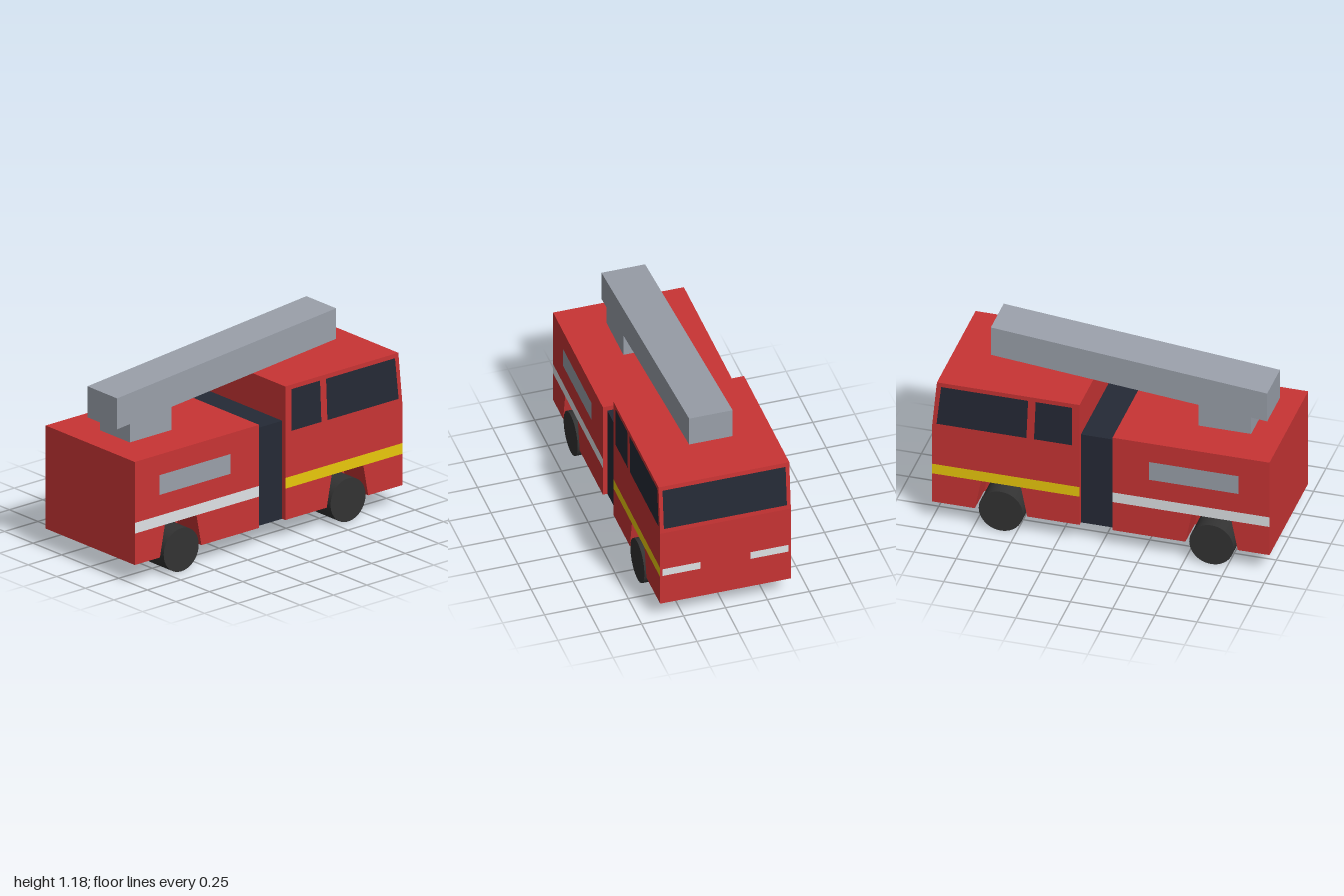
import * as THREE from 'three';

const mat = (color) => new THREE.MeshStandardMaterial({ color, side: THREE.DoubleSide });
const W = 0.39;       // half width of the bodywork
const WELL = 0.2;     // inner wall of the wheel wells
const FLOOR = 0.12, ARCH = 0.31, BAND = 0.375;

const rect = (a, b, c, d) => [[a, b], [c, b], [c, d], [a, d]];
const path = (pts) => pts.map(([u, v]) => new THREE.Vector2(u, v));

export function createModel() {
  const model = new THREE.Group();
  const red = mat(0xc83434), glass = mat(0x252a36), white = mat(0xdfe3e6);
  const yellow = mat(0xeac80c), grey = mat(0x9aa0aa), rubber = mat(0x333333);

  // Flat sheet: a 2D outline with holes, placed by map(u, v) and facing 'out'
  function panel(parent, name, material, outline, map, out, holes = []) {
    const shape = new THREE.Shape(path(outline));
    holes.forEach((h) => shape.holes.push(new THREE.Path(path(h))));
    const geo = new THREE.ShapeGeometry(shape);
    const p = geo.attributes.position;
    for (let i = 0; i < p.count; i++) p.setXYZ(i, ...map(p.getX(i), p.getY(i)));
    geo.computeVertexNormals();
    const n = new THREE.Vector3().fromBufferAttribute(geo.attributes.normal, 0);
    if (n.dot(new THREE.Vector3(...out)) < 0) {
      geo.setIndex([...geo.index.array].reverse());
      geo.computeVertexNormals();
    }
    const mesh = new THREE.Mesh(geo, material);
    mesh.name = name;
    parent.add(mesh);
  }

  const level = (y) => (x, z) => [x, y, z];
  const across = (x) => (z, y) => [x, y, z];
  const along = (z) => (x, y) => [x, y, z];

  const group = (name) => {
    const g = new THREE.Group();
    g.name = name;
    model.add(g);
    return g;
  };

  // Trapezoid outline of a wheel arch, open towards the floor
  const archOutline = (x) => [
    [x - 0.155, FLOOR], [x - 0.118, ARCH], [x + 0.118, ARCH], [x + 0.155, FLOOR],
  ];

  // Lower side, coloured band and recessed wheel well, for one side (s = 1 or -1)
  function lowerSide(g, x0, x1, axle, band, s) {
    const out = [0, 0, s], side = along(s * W);
    const a = archOutline(axle);
    // the arch reaches the band, so it splits the lower side in two
    panel(g, 'lowerSideRear', red, [[x0, FLOOR], a[0], a[1], [x0, ARCH]], side, out);
    panel(g, 'lowerSideFront', red, [a[3], [x1, FLOOR], [x1, ARCH], a[2]], side, out);
    panel(g, 'sideBand', band, rect(x0, ARCH, x1, BAND), side, out);
    panel(g, 'wellInnerWall', red, a, along(s * WELL), out);
    const outs = [[1, 0, 0], [0, -1, 0], [-1, 0, 0]];
    for (let i = 0; i < 3; i++) {
      const [p, q] = [a[i], a[i + 1]];
      panel(g, 'wellLining', red, rect(0, WELL, 1, W),
        (t, z) => [p[0] + (q[0] - p[0]) * t, p[1] + (q[1] - p[1]) * t, s * z], outs[i]);
    }
    // Wheel
    const wheel = new THREE.Mesh(new THREE.CylinderGeometry(0.131, 0.131, 0.195, 40), rubber);
    wheel.name = 'wheel';
    wheel.rotation.x = Math.PI / 2;
    wheel.position.set(axle, 0.131, s * (WELL + 0.0975));
    g.add(wheel);
  }

  // Rear body
  const rear = group('rearBody');
  const R0 = -1, R1 = -0.07, RTOP = 0.745, RAXLE = -0.657;
  const locker = rect(-0.815, 0.5, -0.285, 0.62);
  for (const s of [1, -1]) {
    lowerSide(rear, R0, R1, RAXLE, white, s);
    panel(rear, 'upperSide', red, rect(R0, BAND, R1, RTOP), along(s * W), [0, 0, s], [locker]);
    panel(rear, 'lockerShutter', grey, locker, along(s * W), [0, 0, s]);
  }
  panel(rear, 'rearRoof', red, rect(R0, -W, R1, W), level(RTOP), [0, 1, 0]);
  panel(rear, 'backWall', red, rect(-W, FLOOR, W, RTOP), across(R0), [-1, 0, 0]);
  panel(rear, 'bulkhead', red, rect(-W, FLOOR, W, RTOP), across(R1), [1, 0, 0]);
  const n0 = RAXLE - 0.155, n1 = RAXLE + 0.155;
  panel(rear, 'rearFloor', red, [
    [R0, -W], [n0, -W], [n0, -WELL], [n1, -WELL], [n1, -W], [R1, -W],
    [R1, W], [n1, W], [n1, WELL], [n0, WELL], [n0, W], [R0, W],
  ], level(FLOOR), [0, -1, 0]);

  // Cab
  const cab = group('cab');
  const C0 = 0.125, C1 = 1, CTOP = 0.93, KNEE = 0.62, CAXLE = 0.59, TOPX = 0.97;
  const windows = [
    [[0.17, 0.65], [0.395, 0.65], [0.385, 0.903], [0.17, 0.903]],
    [[0.44, 0.65], [0.972, 0.65], [0.945, 0.903], [0.43, 0.903]],
  ];
  for (const s of [1, -1]) {
    lowerSide(cab, C0, C1, CAXLE, yellow, s);
    panel(cab, 'cabUpperSide', red,
      [[C0, BAND], [C1, BAND], [C1, KNEE], [TOPX, CTOP], [C0, CTOP]],
      along(s * W), [0, 0, s], windows);
    windows.forEach((w) => panel(cab, 'sideWindow', glass, w, along(s * W), [0, 0, s]));
  }
  panel(cab, 'cabRoof', red, rect(C0, -W, TOPX, W), level(CTOP), [0, 1, 0]);
  panel(cab, 'cabBack', red, rect(-W, FLOOR, W, CTOP), across(C0), [-1, 0, 0]);
  // the floor is open between the front wheels
  panel(cab, 'cabFloorRear', red, rect(C0, -W, CAXLE - 0.155, W), level(FLOOR), [0, -1, 0]);
  panel(cab, 'cabFloorFront', red, rect(CAXLE + 0.155, -W, C1, W), level(FLOOR), [0, -1, 0]);

  // Nose with headlights, and the sloping windscreen
  const lamps = [rect(0.15, 0.315, 0.375, 0.363), rect(-0.375, 0.315, -0.15, 0.363)];
  panel(cab, 'nose', red, rect(-W, FLOOR, W, KNEE), across(C1), [1, 0, 0], lamps);
  lamps.forEach((l) => panel(cab, 'headlight', white, l, across(C1), [1, 0, 0]));
  const slope = (z, y) => [C1 + ((TOPX - C1) * (y - KNEE)) / (CTOP - KNEE), y, z];
  const screen = rect(-0.367, 0.647, 0.367, 0.903);
  panel(cab, 'windscreenFrame', red, rect(-W, KNEE, W, CTOP), slope, [1, 0, 0], [screen]);
  panel(cab, 'windscreen', glass, screen, slope, [1, 0, 0]);

  // Dark connector between cab and rear body, with a red underside
  const link = group('connector');
  const bridge = [R1, C0];
  for (const s of [1, -1]) {
    panel(link, 'connectorSide', glass, rect(bridge[0], FLOOR, bridge[1], 0.715),
      along(s * 0.363), [0, 0, s]);
  }
  panel(link, 'connectorTop', glass, rect(R1, -0.363, C0, 0.363), level(0.715), [0, 1, 0]);
  panel(link, 'connectorFloor', red, rect(R1, -0.363, C0, 0.363), level(FLOOR), [0, -1, 0]);

  // Ladder boom with its pedestal
  const boomShape = new THREE.Shape(path([
    [-0.815, RTOP], [-0.502, RTOP], [-0.502, 0.885], [0.727, 1.0], [0.727, 1.185],
    [-0.91, 1.035], [-0.91, 0.847], [-0.815, 0.856],
  ]));
  const boom = new THREE.Mesh(
    new THREE.ExtrudeGeometry(boomShape, { depth: 0.26, bevelEnabled: false }), grey);
  boom.name = 'ladderBoom';
  boom.position.z = -0.13;
  model.add(boom);

  return model;
}
